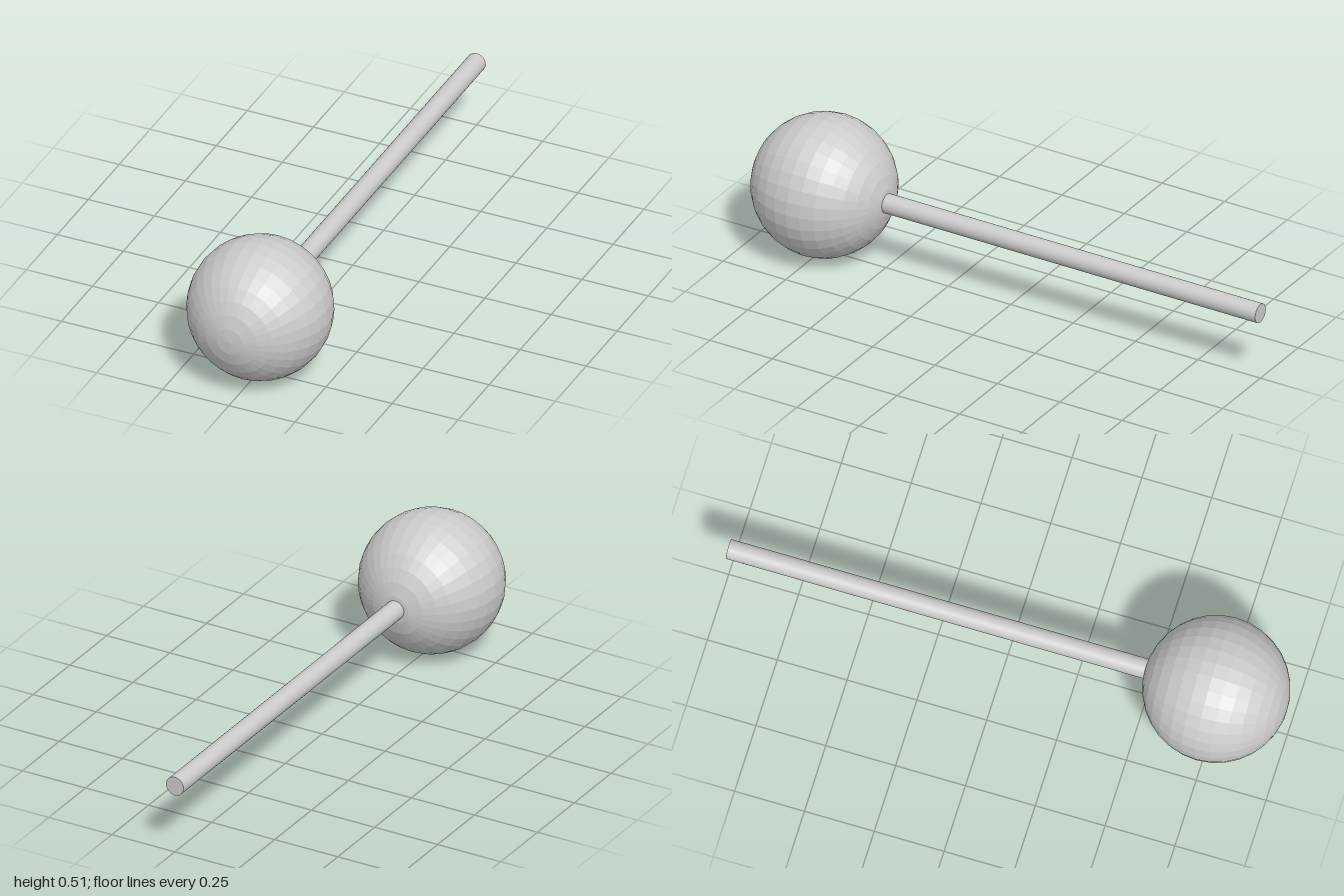
import * as THREE from 'three';

export function createModel() {
  const group = new THREE.Group();
  const material = new THREE.MeshStandardMaterial({ color: 0xcccccc, flatShading: true });
  const radius = 0.254, rodRadius = 0.035;
  const rodFront = 0.5, rodBack = -1;

  // Faceted ball with its poles along z
  const ball = new THREE.Mesh(
    new THREE.SphereGeometry(radius, 32, 16).rotateX(Math.PI / 2), material);
  ball.name = 'ball';
  ball.position.set(0, radius, 1 - radius);

  // Straight rod running back from the ball, its front end sunk into the ball
  const rod = new THREE.Mesh(
    new THREE.CylinderGeometry(rodRadius, rodRadius, rodFront - rodBack, 32).rotateX(Math.PI / 2), material);
  rod.name = 'rod';
  rod.position.set(0, radius, (rodFront + rodBack) / 2);

  group.add(ball, rod);
  return group;
}
